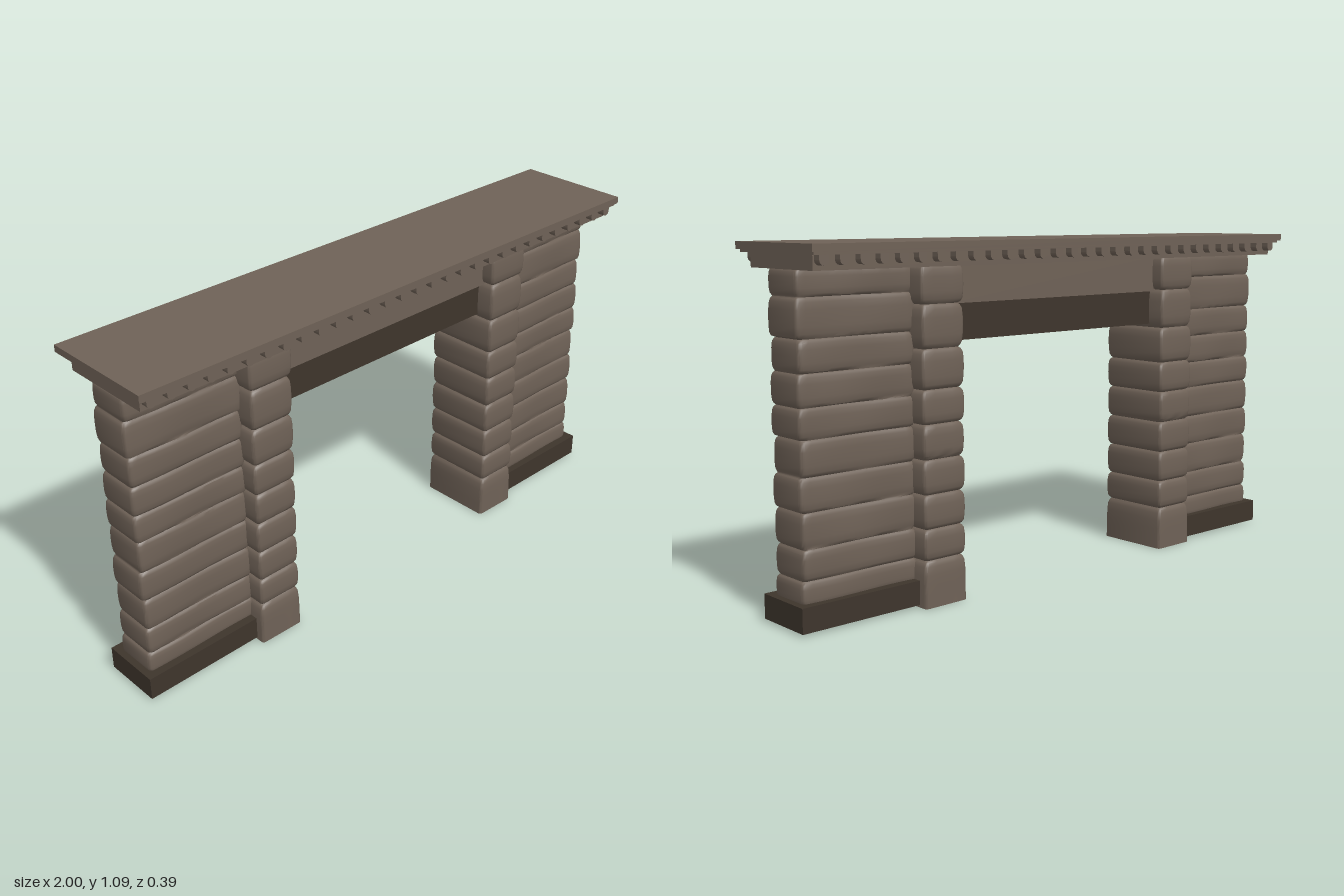
import * as THREE from 'three';
import { toCreasedNormals } from 'three/addons/utils/BufferGeometryUtils.js';

const stone = new THREE.MeshStandardMaterial({ color: 0x6f6257 });
stone.name = 'warm grey stone';
const dark = new THREE.MeshStandardMaterial({ color: 0x3e352c });
dark.name = 'dark stone';

function mesh(geometry, material, name) {
  const m = new THREE.Mesh(geometry, material);
  m.name = name;
  return m;
}

function block(name, material, x0, x1, y0, y1, halfZ) {
  const m = mesh(new THREE.BoxGeometry(x1 - x0, y1 - y0, halfZ * 2), material, name);
  m.position.set((x0 + x1) / 2, (y0 + y1) / 2, 0);
  return m;
}

// Rounded rectangle outline with extra points along its long (x) sides
function outline(hx, hz, r, n) {
  const pts = [];
  const corners = [[1, 1], [-1, 1], [-1, -1], [1, -1]];
  corners.forEach(([sx, sz], c) => {
    for (let i = 0; i <= 3; i++) {
      const a = (c + i / 3) * Math.PI / 2;
      pts.push([sx * (hx - r) + r * Math.cos(a), sz * (hz - r) + r * Math.sin(a)]);
    }
    if (c % 2 === 0) {
      for (let i = 1; i < n; i++) pts.push([sx * (hx - r) * (1 - 2 * i / n), sz * hz]);
    }
  });
  return pts;
}

// Stack of pillowed stone courses, lofted through rounded-rectangle rings
function courses({ joints, hx, hz, radius, groove, n, wobble, flatBase }) {
  const rings = [];
  const profile = [[0, 1], [0.04, 0.55], [0.12, 0.2], [0.3, 0.03], [0.5, 0], [0.7, 0.03], [0.88, 0.2], [0.96, 0.55], [1, 1]];
  for (let k = 0; k < joints.length - 1; k++) {
    const h = joints[k + 1] - joints[k];
    for (const [t, g] of profile) {
      if (k > 0 && t === 0) continue;
      const inset = flatBase && k === 0 && t < 0.5 ? 0 : g * groove;
      const y = joints[k] + t * h;
      rings.push(outline(hx - inset, hz - inset, radius, n).map(([x, z]) => {
        const w = wobble * Math.sin(x * 17 + k * 2.1) * Math.cos(y * 13 + k + Math.sign(z));
        return [x + Math.sign(x) * wobble * 0.8 * Math.sin(k * 2.4 + 1), y, z + Math.sign(z) * w];
      }));
    }
  }
  const count = rings[0].length;
  const pos = rings.flat(2);
  const index = [];
  for (let j = 0; j < rings.length - 1; j++) {
    for (let i = 0; i < count; i++) {
      const a = j * count + i, b = j * count + (i + 1) % count;
      index.push(a, a + count, b, b, a + count, b + count);
    }
  }
  // end caps
  const last = (rings.length - 1) * count, base = pos.length / 3;
  pos.push(0, joints[0], 0, 0, joints[joints.length - 1], 0);
  for (let i = 0; i < count; i++) {
    const q = (i + 1) % count;
    index.push(base, i, q, base + 1, last + q, last + i);
  }
  const g = new THREE.BufferGeometry();
  g.setAttribute('position', new THREE.Float32BufferAttribute(pos, 3));
  g.setIndex(index);
  return toCreasedNormals(g, 0.7);
}

// U-shaped tooth, rounded at the bottom
function dentilGeometry() {
  const s = new THREE.Shape();
  const r = 0.015;
  s.moveTo(r, 0.02);
  s.lineTo(-r, 0.02);
  s.lineTo(-r, 0);
  s.absarc(0, 0, r, Math.PI, Math.PI * 2, false);
  s.lineTo(r, 0.02);
  return new THREE.ExtrudeGeometry(s, { depth: 0.03, bevelEnabled: false, curveSegments: 8 });
}

export function createModel() {
  const model = new THREE.Group();
  model.name = 'fireplaceSurround';

  // Piers, side walls and plinths, mirrored
  const pierGeo = courses({
    joints: [0, 0.143, 0.238, 0.342, 0.447, 0.552, 0.655, 0.775, 0.905, 1.02],
    hx: 0.078, hz: 0.13, radius: 0.01, groove: 0.012, n: 4, wobble: 0.0015, flatBase: true,
  });
  const wallGeo = courses({
    joints: [0.07, 0.145, 0.235, 0.34, 0.44, 0.545, 0.635, 0.73, 0.825, 0.94, 1.02],
    hx: 0.2, hz: 0.074, radius: 0.012, groove: 0.009, n: 20, wobble: 0.0035, flatBase: false,
  });
  for (const [s, side] of [[1, 'left'], [-1, 'right']]) {
    const pier = mesh(pierGeo, stone, side + 'Pier');
    pier.position.x = s * 0.513;
    const wall = mesh(wallGeo, stone, side + 'Wall');
    wall.position.x = s * 0.777;
    const plinth = block(side + 'Plinth', dark, 0.56, 1, 0.008, 0.083, 0.1);
    plinth.position.x *= s;
    model.add(pier, wall, plinth);
  }

  // Beams over the opening
  model.add(block('lintel', stone, -0.46, 0.46, 0.9, 1.02, 0.085));
  model.add(block('lowerBeam', dark, -0.46, 0.46, 0.787, 0.9, 0.068));

  // Cornice layers
  model.add(block('corniceBed', stone, -0.975, 0.975, 1.015, 1.062, 0.158));
  model.add(block('corniceFillet', stone, -0.99, 0.99, 1.058, 1.068, 0.188));
  model.add(block('mantelShelf', stone, -1, 1, 1.066, 1.088, 0.196));

  // Dentils along front and back
  const dentils = new THREE.Group();
  dentils.name = 'dentils';
  const tooth = dentilGeometry();
  const total = 30;
  for (let i = 0; i < total; i++) {
    const x = -0.955 + 1.91 * i / (total - 1);
    for (const z of [0.153, -0.183]) {
      const d = mesh(tooth, stone, 'dentil');
      d.position.set(x, 1.044, z);
      dentils.add(d);
    }
  }
  model.add(dentils);
  return model;
}
